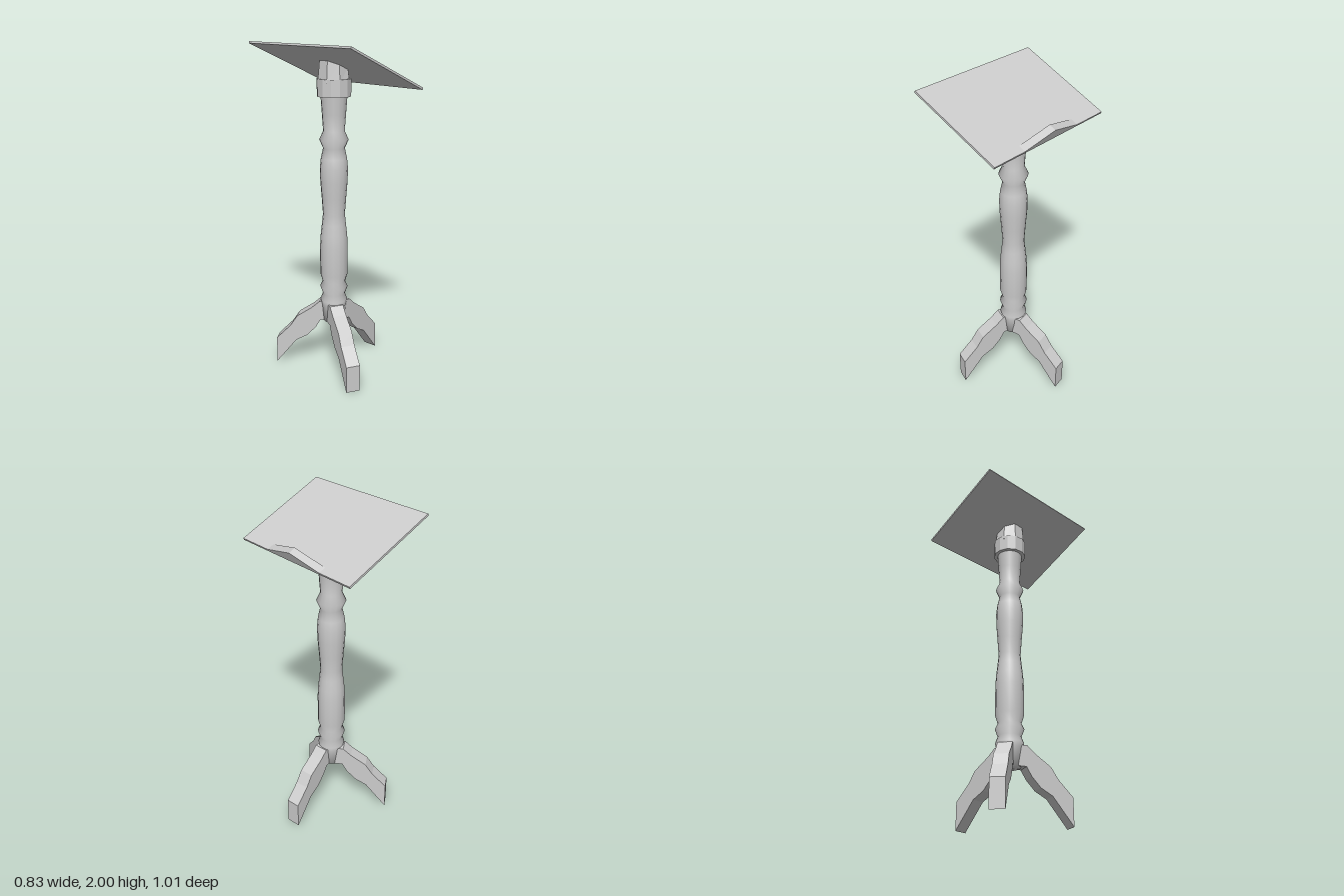
import * as THREE from 'three';

const TILT = 0.413, TURN = 0.374, BOARD_Y = 1.876;
const CX = 0.003, CZ = -0.004;

function material(flat) {
  return new THREE.MeshStandardMaterial({ color: 0xcccccc, flatShading: flat, side: THREE.DoubleSide });
}

function part(name, geometry, flat = true) {
  const mesh = new THREE.Mesh(geometry, material(flat));
  mesh.name = name;
  return mesh;
}

function polygon(points) {
  return new THREE.Shape(points.map(([x, y]) => new THREE.Vector2(x, y)));
}

// Turned column, radius and height from bottom to top
function makeColumn() {
  const profile = [
    [0, 0.31], [0.064, 0.31], [0.075, 0.42], [0.083, 0.45], [0.068, 0.49], [0.085, 0.535],
    [0.069, 0.57], [0.084, 0.62], [0.084, 0.8], [0.08, 0.87], [0.072, 0.94], [0.066, 1.0],
    [0.073, 1.1], [0.081, 1.2], [0.083, 1.28], [0.077, 1.34], [0.064, 1.4], [0.086, 1.45],
    [0.063, 1.5], [0.07, 1.6], [0.078, 1.71],
  ].map(([r, y]) => new THREE.Vector2(r, y));
  const mesh = part('column', new THREE.LatheGeometry(profile, 16), false);
  mesh.position.set(CX, 0, CZ);
  return mesh;
}

// Collar and a tapered block whose top is cut to the slope of the board
function makeCollar() {
  const group = new THREE.Group();
  group.name = 'collar';
  const ring = part('collarRing', new THREE.CylinderGeometry(0.1, 0.1, 0.1, 12));
  ring.position.y = 1.75;

  const block = new THREE.CylinderGeometry(0.086, 0.098, 0.1, 8);
  const pos = block.attributes.position;
  for (let i = 0; i < pos.count; i++) {
    const x = pos.getX(i), z = pos.getZ(i);
    const downhill = x * Math.cos(TURN) - z * Math.sin(TURN);
    pos.setY(i, pos.getY(i) > 0 ? BOARD_Y - Math.tan(TILT) * downhill : 1.78);
  }
  group.add(ring, part('boardSupport', block));
  group.position.set(CX, 0, CZ);
  return group;
}

// Slanted board with a peaked ledge along its lower edge
function makeBoard() {
  const group = new THREE.Group();
  group.name = 'readingBoard';
  group.add(part('board', new THREE.BoxGeometry(0.594, 0.012, 0.866)));

  const ledge = new THREE.ExtrudeGeometry(
    polygon([[-0.215, 0], [0.215, 0], [0, 0.054]]), { depth: 0.045, bevelEnabled: false });
  ledge.rotateY(Math.PI / 2);
  const mesh = part('ledge', ledge);
  mesh.position.set(0.252, 0.005, 0);
  group.add(mesh);

  group.rotation.set(0, TURN, -TILT, 'YXZ');
  group.position.y = BOARD_Y;
  return group;
}

// Three bent legs, each ending in a sharp toe
function makeLegs() {
  const group = new THREE.Group();
  group.name = 'legs';
  const width = 0.085;
  const geometry = new THREE.ExtrudeGeometry(polygon([
    [0.02, 0.435], [0.085, 0.435], [0.135, 0.39], [0.23, 0.325], [0.276, 0.255], [0.364, 0.164],
    [0.364, 0], [0.237, 0.16], [0.165, 0.2], [0.11, 0.26], [0.08, 0.312], [0.02, 0.312],
  ]), { depth: width, bevelEnabled: false });
  geometry.translate(0, 0, 0.014 - width / 2);
  for (let i = 0; i < 3; i++) {
    const leg = part('leg' + (i + 1), geometry);
    leg.rotation.y = -Math.PI / 2 + i * Math.PI * 2 / 3;
    group.add(leg);
  }
  group.position.set(CX, 0, CZ);
  return group;
}

export function createModel() {
  const model = new THREE.Group();
  model.name = 'lectern';
  model.add(makeLegs(), makeColumn(), makeCollar(), makeBoard());
  return model;
}
